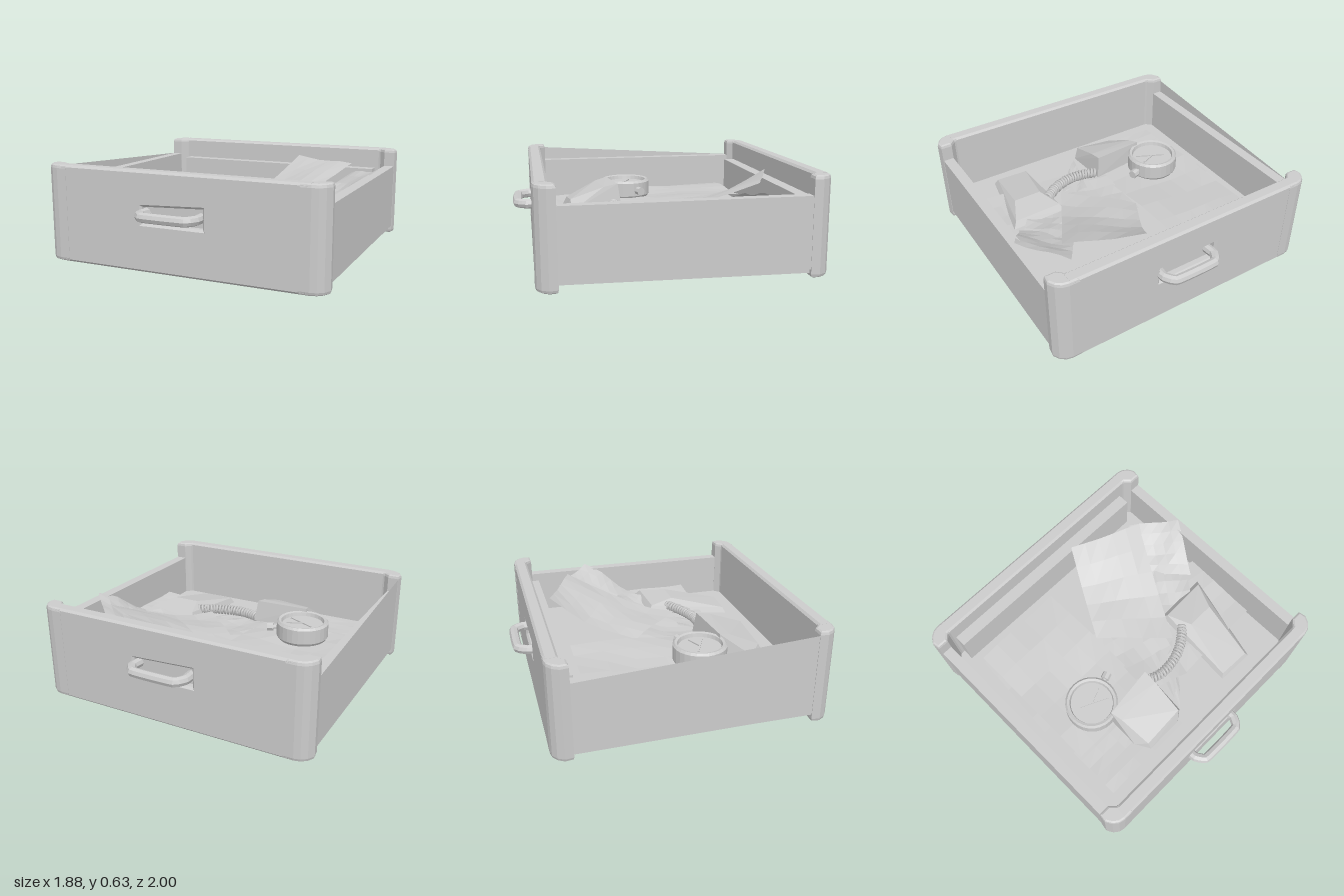
import * as THREE from 'three';
import { ConvexGeometry } from 'three/addons/geometries/ConvexGeometry.js';

const V = (x, y, z) => new THREE.Vector3(x, y, z);
const grey = new THREE.MeshStandardMaterial({ color: 0xcccccc, flatShading: true });
const thin = new THREE.MeshStandardMaterial({ color: 0xcccccc, flatShading: true, side: THREE.DoubleSide });
const smooth = new THREE.MeshStandardMaterial({ color: 0xcccccc });

function add(parent, name, geometry, material = grey) {
  const mesh = new THREE.Mesh(geometry, material);
  mesh.name = name;
  parent.add(mesh);
  return mesh;
}

// Box given by its minimum and maximum corners
function box(parent, name, a, b) {
  const mesh = add(parent, name, new THREE.BoxGeometry(b[0] - a[0], b[1] - a[1], b[2] - a[2]));
  mesh.position.set((a[0] + b[0]) / 2, (a[1] + b[1]) / 2, (a[2] + b[2]) / 2);
  return mesh;
}

function polygon(points) {
  return new THREE.Shape(points.map(p => new THREE.Vector2(p[0], p[1])));
}

// End panel with rounded corner posts, recess and pull handle, facing +z
function endPanel(name) {
  const g = new THREE.Group();
  g.name = name;
  const board = polygon([[-0.82, 0.015], [0.82, 0.015], [0.82, 0.613], [-0.82, 0.613]]);
  board.holes.push(polygon([[-0.24, 0.29], [-0.24, 0.42], [0.2, 0.44], [0.2, 0.29]]));
  const boardGeo = new THREE.ExtrudeGeometry(board, {
    depth: 0.06, bevelSize: 0.014, bevelThickness: 0.014, bevelSegments: 1 });
  boardGeo.translate(0, 0, 0.804);
  add(g, 'panelBoard', boardGeo);
  box(g, 'recessBack', [-0.3, 0.25, 0.79], [0.26, 0.48, 0.83]);

  for (const s of [-1, 1]) {
    const plan = [[0.79, 0.81], [0.83, 0.8], [0.865, 0.765], [0.92, 0.765],
      [0.925, 0.8], [0.905, 0.835], [0.875, 0.857], [0.84, 0.865], [0.79, 0.865]];
    const post = new THREE.ExtrudeGeometry(polygon(plan.map(p => [s * p[0], -p[1]])), {
      depth: 0.58, bevelSize: 0.015, bevelThickness: 0.022, bevelSegments: 2 });
    post.rotateX(-Math.PI / 2).translate(0, 0.024, 0);
    add(g, 'cornerPost', post);
  }

  const path = new THREE.CatmullRomCurve3([V(-0.215, 0.365, 0.83), V(-0.22, 0.365, 0.9), V(-0.175, 0.365, 0.962),
    V(-0.02, 0.365, 0.967), V(0.12, 0.365, 0.962), V(0.16, 0.365, 0.9), V(0.155, 0.365, 0.83)], false, 'catmullrom', 0.2);
  add(g, 'pullHandle', new THREE.TubeGeometry(path, 24, 0.031, 8));
  return g;
}

// Crumpled sheet spanned by four corners in order around the edge, sagging between first and last edge
function sheet(parent, name, corners, ripple, sag = 0, n = 5) {
  const [a, b, c, d] = corners.map(p => V(...p));
  const geo = new THREE.PlaneGeometry(1, 1, n, n);
  const pos = geo.attributes.position;
  for (let i = 0; i < pos.count; i++) {
    const u = pos.getX(i) + 0.5, v = 0.5 - pos.getY(i);
    const p = a.clone().lerp(b, u).lerp(d.clone().lerp(c, u), v);
    p.y += ripple * (Math.sin(u * 7 + v * 4 + a.x * 9) + Math.cos(v * 8 - u * 3)) - sag * Math.sin(Math.PI * v);
    pos.setXYZ(i, p.x, p.y, p.z);
  }
  geo.computeVertexNormals();
  add(parent, name, geo, thin);
}

function pocketWatch() {
  const g = new THREE.Group();
  g.name = 'pocketWatch';
  const profile = [[0, 0], [0.165, 0], [0.178, 0.02], [0.178, 0.115], [0.165, 0.13], [0.148, 0.125], [0.142, 0.1], [0, 0.1]];
  add(g, 'watchCase', new THREE.LatheGeometry(profile.map(p => new THREE.Vector2(...p)), 28));
  [[0.11, 0.4], [0.085, 2.7], [0.12, -0.45]].forEach(([length, angle]) => {
    const hand = new THREE.BoxGeometry(length, 0.008, 0.01).translate(length / 2, 0.105, 0).rotateY(angle);
    add(g, 'watchHand', hand);
  });
  const stem = new THREE.CylinderGeometry(0.014, 0.014, 0.05, 8).rotateZ(-Math.PI / 2).translate(0.195, 0.065, 0);
  const crown = new THREE.CylinderGeometry(0.03, 0.03, 0.045, 8).rotateZ(-Math.PI / 2).translate(0.222, 0.065, 0);
  for (const [name, geo] of [['watchStem', stem], ['watchCrown', crown]]) add(g, name, geo.rotateY(0.35));
  g.position.set(-0.445, 0.28, 0.17);
  return g;
}

// Coil wound round a gently curved centre line
function coiledCord(parent) {
  const spine = new THREE.CatmullRomCurve3([V(-0.04, 0.3, 0.31), V(0.06, 0.3, 0.34),
    V(0.18, 0.305, 0.335), V(0.3, 0.31, 0.29), V(0.42, 0.32, 0.2)]);
  const points = [], turns = 22, steps = turns * 8;
  for (let i = 0; i <= steps; i++) {
    const t = i / steps, angle = t * turns * Math.PI * 2;
    const tangent = spine.getTangentAt(t);
    const side = V(-tangent.z, 0, tangent.x).normalize();
    points.push(spine.getPointAt(t).addScaledVector(side, 0.028 * Math.cos(angle)).add(V(0, 0.028 * Math.sin(angle), 0)));
  }
  add(parent, 'coiledCord', new THREE.TubeGeometry(new THREE.CatmullRomCurve3(points), steps * 2, 0.01, 5), smooth);
}

export function createModel() {
  const model = new THREE.Group();
  model.name = 'drawer';

  // Drawer body
  const back = endPanel('backPanel');
  back.rotation.y = Math.PI;
  model.add(endPanel('frontPanel'), back);
  for (const s of [-1, 1]) {
    const [x0, x1] = s > 0 ? [0.86, 0.93] : [-0.93, -0.86];
    box(model, s > 0 ? 'leftWall' : 'rightWall', [x0, 0.055, -0.79], [x1, 0.505, 0.79]);
  }
  box(model, 'floor', [-0.87, 0.06, -0.8], [0.87, 0.21, 0.8]);
  box(model, 'underside', [-0.91, 0.037, -0.8], [0.91, 0.09, 0.8]).rotation.x = -0.012;
  box(model, 'backLedge', [-0.79, 0.21, -0.8], [0.78, 0.48, -0.71]);

  // Thin strip rising towards the front along one wall
  const strip = new THREE.BufferGeometry().setFromPoints([V(-0.93, 0.5, 0.77), V(-0.93, 0.6, 0.77), V(-0.93, 0.505, -0.76)]);
  strip.computeVertexNormals();
  add(model, 'slopedStrip', strip, thin);

  // Loose papers
  const papers = new THREE.Group();
  papers.name = 'papers';
  model.add(papers);
  sheet(papers, 'bottomSheet', [[-0.75, 0.235, 0.3], [-0.08, 0.235, 0.3], [-0.08, 0.235, 0.68], [-0.75, 0.235, 0.68]], 0.003);
  sheet(papers, 'underSheet', [[-0.75, 0.25, -0.6], [-0.2, 0.25, -0.6], [-0.25, 0.25, 0.05], [-0.79, 0.25, 0.06]], 0.004);
  sheet(papers, 'leftSheet', [[-0.74, 0.29, -0.62], [-0.09, 0.33, -0.62], [-0.07, 0.28, 0.36], [-0.74, 0.27, 0.36]], 0.008);
  sheet(papers, 'middleSheet', [[-0.08, 0.29, -0.2], [0.35, 0.29, -0.1], [0.2, 0.26, 0.46], [-0.1, 0.27, 0.36]], 0.007);
  sheet(papers, 'tallSheet', [[0.21, 0.54, -0.7], [0.68, 0.55, -0.5], [0.3, 0.31, 0.22], [-0.08, 0.31, -0.16]], 0.008, 0.04);
  sheet(papers, 'tornSheet', [[0.1, 0.28, 0.2], [0.3, 0.27, 0.22], [0.12, 0.25, 0.46], [-0.02, 0.25, 0.6]], 0.005);
  sheet(papers, 'rightSheet', [[0.35, 0.27, -0.2], [0.85, 0.3, -0.1], [0.83, 0.3, 0.45], [0.2, 0.26, 0.45]], 0.005);
  sheet(papers, 'cornerSheet', [[0.66, 0.46, -0.57], [0.91, 0.54, -0.33], [0.74, 0.34, -0.02], [0.48, 0.33, -0.28]], 0.008);
  sheet(papers, 'foldedSheet', [[0.53, 0.34, -0.26], [0.75, 0.34, -0.08], [0.5, 0.28, 0.26], [0.3, 0.28, 0.1]], 0.008);

  // Objects on the papers
  model.add(pocketWatch());
  coiledCord(model);
  add(model, 'handset', new ConvexGeometry([
    V(0.37, 0.3, 0.05), V(0.75, 0.3, 0.04), V(0.69, 0.26, 0.25), V(0.61, 0.23, 0.67), V(0.35, 0.23, 0.66), V(0.38, 0.26, 0.3),
    V(0.39, 0.34, 0.08), V(0.72, 0.34, 0.07), V(0.64, 0.36, 0.25), V(0.45, 0.36, 0.25), V(0.59, 0.27, 0.65), V(0.37, 0.27, 0.64)]));
  add(model, 'cordBlock', new ConvexGeometry([
    V(-0.42, 0.29, 0.31), V(-0.03, 0.29, 0.26), V(-0.03, 0.26, 0.6), V(-0.1, 0.25, 0.65), V(-0.36, 0.24, 0.65), V(-0.42, 0.25, 0.55),
    V(-0.41, 0.43, 0.32), V(-0.05, 0.44, 0.28), V(-0.05, 0.42, 0.38), V(-0.39, 0.41, 0.4), V(-0.06, 0.34, 0.61), V(-0.36, 0.3, 0.62)]));
  return model;
}
